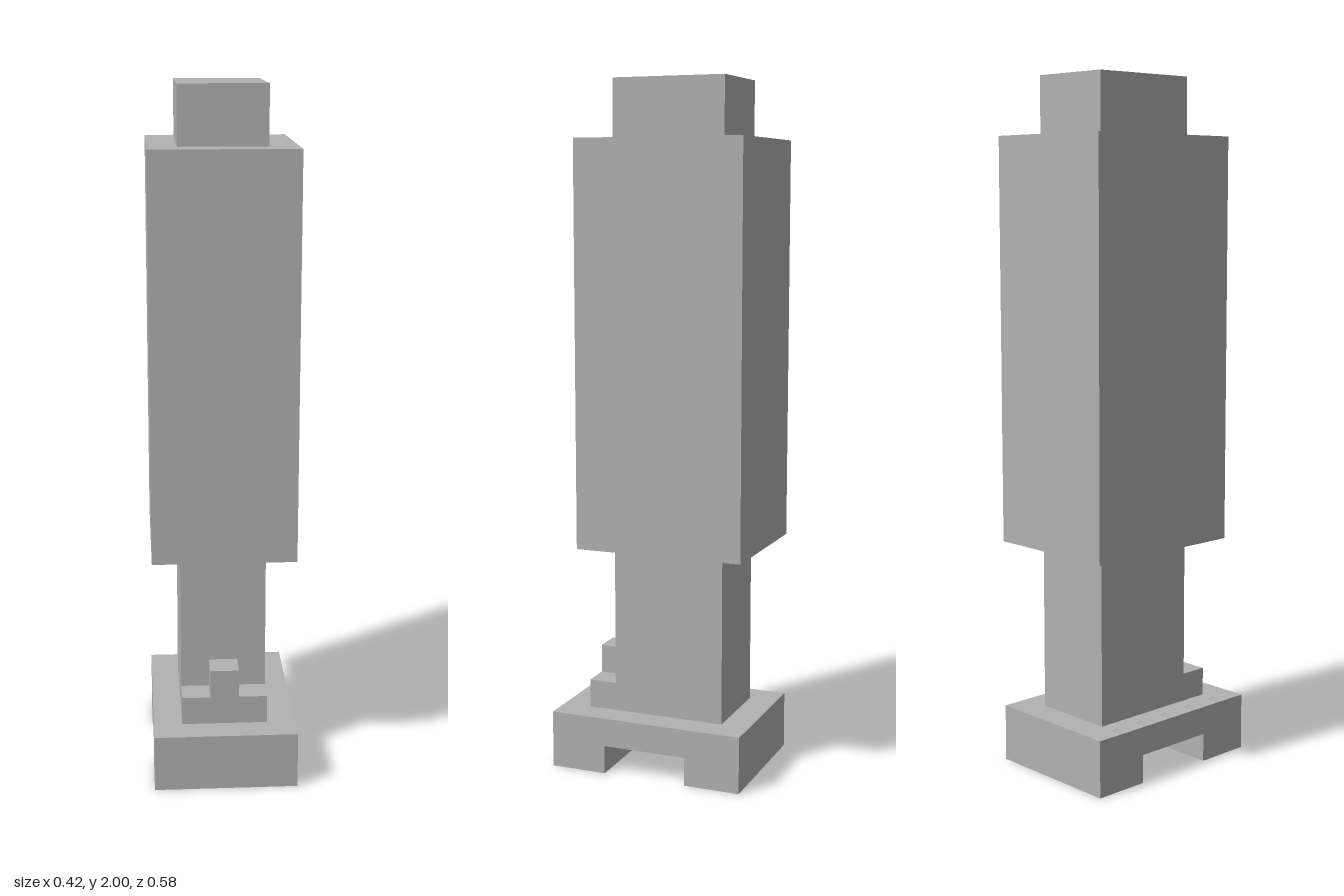
import * as THREE from 'three';

const U = 1 / 24; // all sizes are whole multiples of this unit

export function createModel() {
  const model = new THREE.Group();
  const grey = new THREE.MeshStandardMaterial({ color: 0xb2b2b2 });
  grey.name = 'grey';

  const add = (name, geometry) => {
    const mesh = new THREE.Mesh(geometry, grey);
    mesh.name = name;
    model.add(mesh);
  };

  // Box from its minimum and maximum corners, in units
  const block = (name, [x0, y0, z0], [x1, y1, z1]) =>
    add(name, new THREE.BoxGeometry((x1 - x0) * U, (y1 - y0) * U, (z1 - z0) * U)
      .translate((x0 + x1) / 2 * U, (y0 + y1) / 2 * U, (z0 + z1) / 2 * U));

  // Outline in units, extruded along z and starting at z0
  const extrude = (points, z0, depth) =>
    new THREE.ExtrudeGeometry(
      new THREE.Shape(points.map(([x, y]) => new THREE.Vector2(x * U, y * U))),
      { depth: depth * U, bevelEnabled: false }
    ).translate(0, 0, z0 * U);

  // Foot with a channel running across its underside
  add('foot', extrude(
    [[-7, 0], [-3, 0], [-3, 2], [3, 2], [3, 0], [7, 0], [7, 4], [-7, 4]], -5, 10
  ).rotateY(-Math.PI / 2));

  // Stepped block with a small stud on the foot
  add('frontStep', extrude(
    [[-3, 4], [3, 4], [3, 6], [1, 6], [1, 8], [-1, 8], [-1, 6], [-3, 6]], 3, 2));

  block('post', [-3, 4, -5], [3, 16, 3]);
  block('body', [-5, 16, -7], [5, 44, 5]);
  block('cap', [-3, 44, -5], [3, 48, 3]);

  return model;
}
